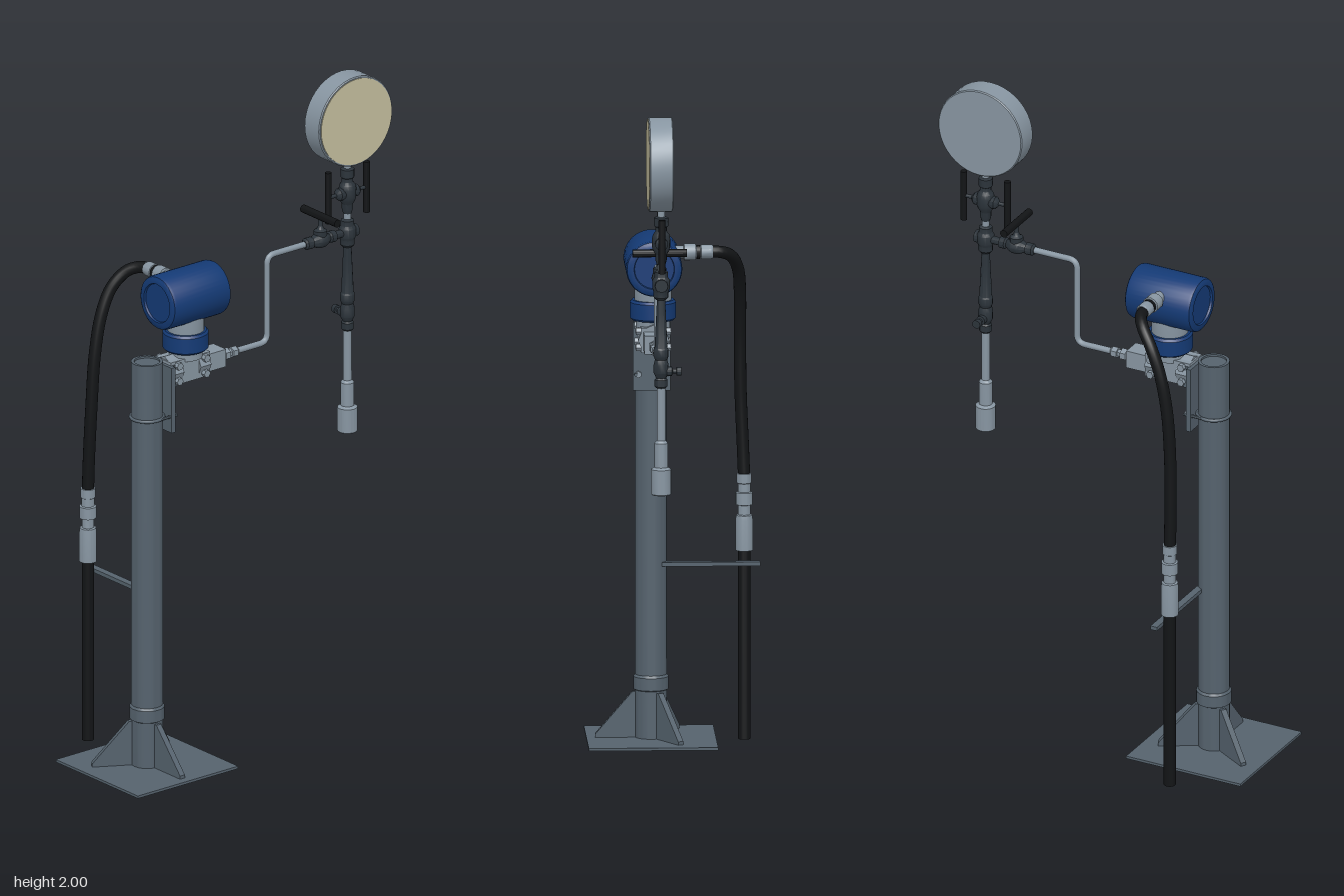
import * as THREE from 'three';
import { toCreasedNormals } from 'three/addons/utils/BufferGeometryUtils.js';

const mat = (color) => new THREE.MeshStandardMaterial({ color, side: THREE.DoubleSide });
const STEEL = mat(0x55626d), ALLOY = mat(0x8795a1), BLUE = mat(0x143a75);
const BLACK = mat(0x121416), DARK = mat(0x2b333a), DIAL = mat(0xc4be9e);
const V = (x, y, z) => new THREE.Vector3(x, y, z);
const UP = V(0, 1, 0), ALONG_X = V(1, 0, 0), ALONG_Z = V(0, 0, 1);

export function createModel() {
  const model = new THREE.Group();
  const rig = new THREE.Group();
  rig.name = 'transmitterStand';
  rig.position.set(0.052, 0, 0.346);
  rig.rotation.y = -0.0976;
  model.add(rig);

  const add = (name, geometry, material, parent = rig) => {
    const mesh = new THREE.Mesh(geometry, material);
    mesh.name = name;
    parent.add(mesh);
    return mesh;
  };
  const box = (name, material, w, h, d, x, y, z) => {
    const mesh = add(name, new THREE.BoxGeometry(w, h, d), material);
    mesh.position.set(x, y, z);
    return mesh;
  };
  // Turned part: [radius, distance] pairs along an axis, closed at both ends
  const turned = (name, material, profile, origin, axis = UP, sides = 28) => {
    const pts = profile.map(([r, h]) => new THREE.Vector2(r, h));
    pts.unshift(new THREE.Vector2(0, pts[0].y));
    pts.push(new THREE.Vector2(0, pts[pts.length - 1].y));
    const geometry = toCreasedNormals(new THREE.LatheGeometry(pts, sides), 0.6);
    const mesh = add(name, geometry, material);
    mesh.position.copy(origin);
    mesh.quaternion.setFromUnitVectors(UP, axis);
    return mesh;
  };
  const rod = (name, material, r, a, b, sides = 16) => {
    const d = b.clone().sub(a), len = d.length();
    return turned(name, material, [[r, 0], [r, len]], a, d.normalize(), sides);
  };

  // Base plate, post and three gussets
  box('basePlate', STEEL, 0.382, 0.008, 0.382, 0, 0.004, 0);
  turned('post', STEEL, [[0.047, 0.005], [0.047, 0.15], [0.052, 0.153], [0.052, 0.19], [0.047, 0.197],
    [0.047, 1.28], [0.038, 1.28], [0.038, 1.274]], V(0, 0, 0), UP, 36);
  const rib = new THREE.Shape([[0.04, 0.008], [0.165, 0.008], [0.165, 0.018], [0.055, 0.145], [0.04, 0.145]]
    .map(([x, y]) => new THREE.Vector2(x, y)));
  for (let i = 0; i < 3; i++) {
    const geometry = new THREE.ExtrudeGeometry(rib, { depth: 0.018, bevelEnabled: false });
    geometry.translate(0, 0, -0.009);
    add('gusset', geometry, STEEL).rotation.y = i * Math.PI * 2 / 3;
  }

  // Arm steadying the conduit
  box('conduitArm', STEEL, 0.29, 0.012, 0.022, -0.176, 0.53, -0.029);

  // Mounting bracket clamped to the post
  box('mountingBracket', STEEL, 0.11, 0.205, 0.014, 0, 1.158, -0.056);
  box('bracketShelf', STEEL, 0.08, 0.07, 0.03, 0, 1.225, -0.067);
  const clamp = add('clamp', new THREE.TorusGeometry(0.049, 0.005, 8, 36), STEEL);
  clamp.position.y = 1.105;
  clamp.rotation.x = Math.PI / 2;
  for (const s of [-1, 1]) {
    rod('clampLeg', STEEL, 0.005, V(s * 0.047, 1.105, 0), V(s * 0.047, 1.105, -0.075), 8);
    rod('clampNut', ALLOY, 0.01, V(s * 0.04, 1.105, -0.06), V(s * 0.04, 1.105, -0.073), 6);
  }

  // Rigid conduit, couplings and hose
  const cx = -0.275;
  rod('conduit', BLACK, 0.018, V(cx, 0, 0), V(cx, 0.57, 0), 20);
  turned('conduitCoupling', ALLOY, [[0.026, 0.565], [0.026, 0.655], [0.024, 0.67], [0.018, 0.672], [0.018, 0.70],
    [0.025, 0.702], [0.025, 0.738], [0.019, 0.74], [0.019, 0.765], [0.022, 0.767], [0.022, 0.795]],
  V(cx, 0, 0), UP, 20);
  const hose = new THREE.CatmullRomCurve3([V(cx, 0.78, 0), V(cx + 0.004, 0.88, 0), V(-0.264, 1.05, -0.004),
    V(-0.262, 1.22, -0.016), V(-0.261, 1.34, -0.04), V(-0.254, 1.42, -0.074), V(-0.232, 1.467, -0.113),
    V(-0.2, 1.483, -0.137), V(-0.165, 1.485, -0.145)]);
  add('flexibleHose', new THREE.TubeGeometry(hose, 64, 0.018, 16), BLACK);
  turned('hoseGland', ALLOY, [[0.019, -0.177], [0.022, -0.172], [0.022, -0.142], [0.018, -0.14], [0.018, -0.128],
    [0.025, -0.126], [0.025, -0.092], [0.019, -0.09], [0.019, -0.04]], V(0, 1.485, -0.145), ALONG_X, 12);
  rod('glandRing', BLACK, 0.021, V(-0.139, 1.485, -0.145), V(-0.129, 1.485, -0.145));

  // Transmitter housing with recessed covers, collar and neck
  const zt = -0.147;
  turned('housing', BLUE, [[0.058, -0.104], [0.06, -0.11], [0.074, -0.11], [0.08, -0.106], [0.083, -0.098],
    [0.083, 0.098], [0.08, 0.106], [0.074, 0.11], [0.06, 0.11], [0.058, 0.104]], V(0, 1.453, zt), ALONG_Z, 40);
  turned('neck', ALLOY, [[0.05, 1.26], [0.05, 1.288], [0.055, 1.34], [0.055, 1.40]], V(0, 0, zt));
  turned('collar', BLUE, [[0.062, 1.285], [0.068, 1.291], [0.068, 1.338], [0.062, 1.345]], V(0, 0, zt), UP, 32);

  // Pressure manifold with flange bolts and a port block
  box('manifoldBody', ALLOY, 0.075, 0.075, 0.15, 0, 1.232, -0.135);
  for (const z of [-0.085, -0.135, -0.188]) {
    rod('manifoldFlange', ALLOY, z === -0.135 ? 0.036 : 0.046, V(0, 1.232, z - 0.02), V(0, 1.232, z + 0.02), 8);
  }
  for (const s of [-1, 1]) for (const y of [1.208, 1.256]) for (const z of [-0.085, -0.188]) {
    rod('flangeBolt', ALLOY, 0.012, V(s * 0.03, y, z), V(s * 0.052, y, z), 6);
  }
  box('portBlock', ALLOY, 0.06, 0.055, 0.07, 0, 1.23, -0.242);
  turned('portFitting', ALLOY, [[0.014, 0.27], [0.014, 0.288], [0.019, 0.289], [0.019, 0.306], [0.012, 0.307],
    [0.012, 0.318], [0.017, 0.319], [0.017, 0.337], [0.011, 0.343]], V(0, 1.228, 0), V(0, 0, -1), 6);

  // Impulse tube with two rounded bends
  const [a, b, c, d] = [V(0, 1.228, -0.33), V(0, 1.228, -0.457), V(0, 1.5, -0.457), V(0, 1.5, -0.62)];
  const toward = (p, q) => p.clone().add(q.clone().sub(p).setLength(0.028));
  const path = new THREE.CurvePath();
  path.add(new THREE.LineCurve3(a, toward(b, a)));
  path.add(new THREE.QuadraticBezierCurve3(toward(b, a), b, toward(b, c)));
  path.add(new THREE.LineCurve3(toward(b, c), toward(c, b)));
  path.add(new THREE.QuadraticBezierCurve3(toward(c, b), c, toward(c, d)));
  path.add(new THREE.LineCurve3(toward(c, d), d));
  add('impulseTube', new THREE.TubeGeometry(path, 90, 0.0095, 12), ALLOY);

  // Isolation valve on the tube, with a crosswise handle
  const zg = -0.763;
  turned('isolationValve', DARK, [[0.012, 0.598], [0.018, 0.604], [0.018, 0.625], [0.013, 0.627], [0.02, 0.64],
    [0.024, 0.65], [0.024, 0.67], [0.02, 0.68], [0.013, 0.69], [0.018, 0.695], [0.018, 0.712], [0.012, 0.714],
    [0.012, 0.763]], V(0, 1.5, 0), V(0, 0, -1), 12);
  turned('valveBonnet', DARK, [[0.02, 1.5], [0.02, 1.53], [0.012, 1.535], [0.007, 1.545], [0.007, 1.575]],
    V(0, 0, -0.66), UP, 12);
  rod('valveHandle', BLACK, 0.012, V(-0.08, 1.575, -0.66), V(0.08, 1.575, -0.66), 12);

  // Vertical gauge stack
  const foot = V(0, 0, zg);
  turned('gaugeStem', ALLOY, [[0.011, 1.50], [0.011, 1.74]], foot, UP, 16);
  turned('gaugeValve', DARK, [[0.013, 1.56], [0.017, 1.575], [0.017, 1.59], [0.024, 1.602], [0.027, 1.613],
    [0.027, 1.637], [0.024, 1.65], [0.017, 1.66], [0.017, 1.672], [0.021, 1.675], [0.021, 1.70], [0.014, 1.703]],
  foot, UP, 12);
  for (const s of [-1, 1]) {
    turned('gaugeValveSpindle', DARK, [[0.019, 0], [0.019, 0.034], [0.011, 0.042], [0.006, 0.045], [0.006, 0.075]],
      V(0, 1.625, zg), V(0, 0, s), 12);
    rod('gaugeValveHandle', BLACK, 0.01, V(0, 1.545, zg + s * 0.073), V(0, 1.705, zg + s * 0.073), 12);
  }
  turned('crossFitting', DARK, [[0.016, 1.455], [0.022, 1.462], [0.022, 1.478], [0.026, 1.487], [0.026, 1.513],
    [0.02, 1.522], [0.02, 1.538], [0.014, 1.542]], foot, UP, 12);
  rod('crossPlug', DARK, 0.019, V(0, 1.5, zg), V(0, 1.5, zg - 0.032), 12);

  // Drain leg with its valve, handle and end cup
  turned('drainValve', DARK, [[0.014, 1.19], [0.019, 1.195], [0.019, 1.215], [0.015, 1.22], [0.022, 1.235],
    [0.022, 1.26], [0.018, 1.275], [0.022, 1.285], [0.022, 1.305], [0.019, 1.31], [0.014, 1.415], [0.012, 1.46]],
  foot, UP, 12);
  turned('drainSpindle', DARK, [[0.014, 0], [0.014, 0.032], [0.007, 0.034], [0.007, 0.045], [0.013, 0.046],
    [0.013, 0.06]], V(0, 1.24, zg), V(-1, 0, 0), 12);
  turned('drainPipe', ALLOY, [[0.027, 0.87], [0.03, 0.873], [0.03, 0.947], [0.02, 0.953], [0.02, 1.025],
    [0.013, 1.033], [0.013, 1.2]], foot, UP, 20);

  // Pressure gauge, dial facing the left side
  const hub = V(0.003, 1.86, zg - 0.002);
  turned('gaugeCase', ALLOY, [[0.137, -0.036], [0.14, -0.033], [0.14, 0.032], [0.137, 0.035]], hub, ALONG_X, 40);
  turned('gaugeDial', DIAL, [[0.134, 0.03], [0.134, 0.037]], hub, ALONG_X, 40);
  return model;
}
